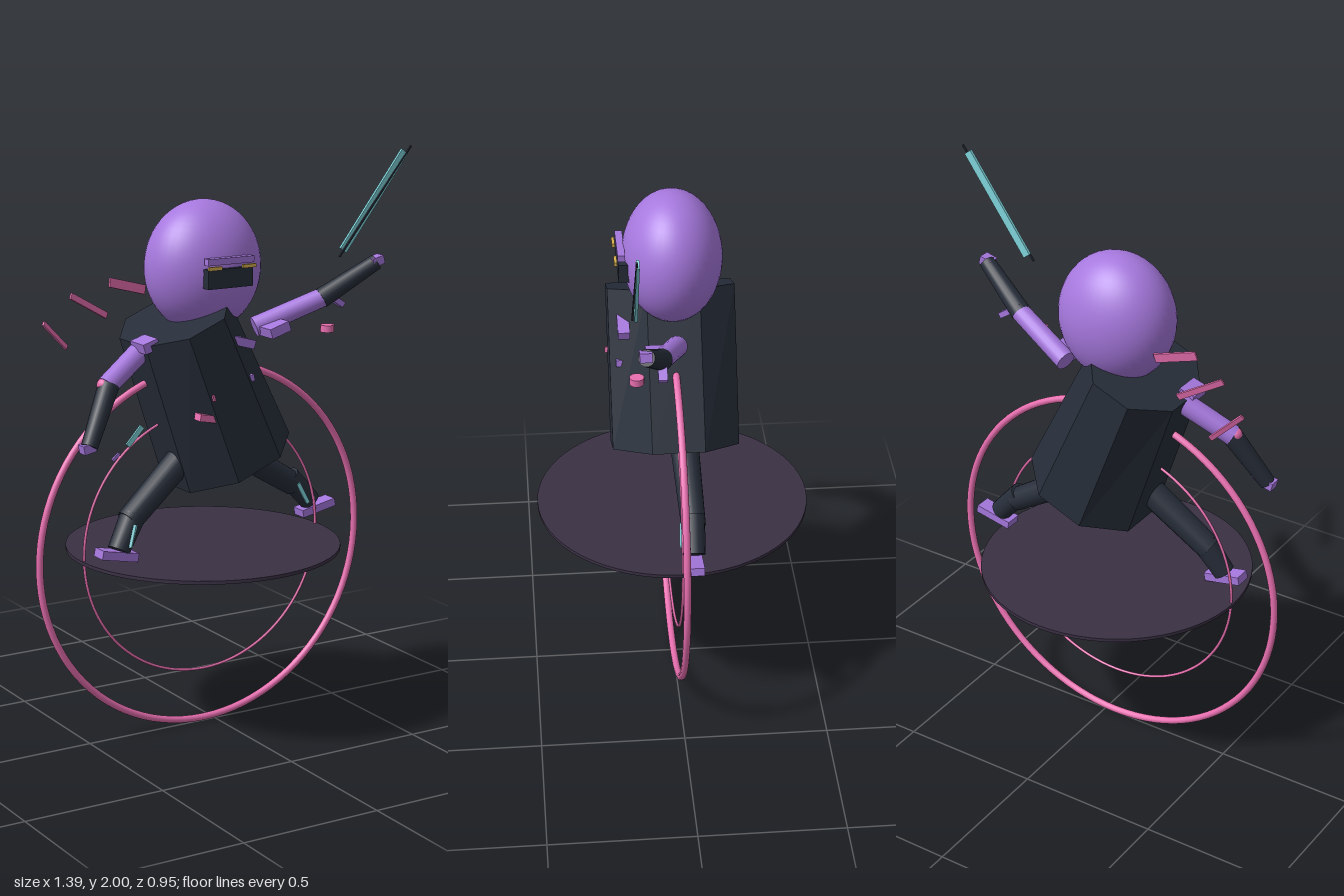
import * as THREE from 'three';

const mat = (color, extra = {}) => new THREE.MeshStandardMaterial({ color, ...extra });
const UP = new THREE.Vector3(0, 1, 0);

export function createModel() {
  const root = new THREE.Group();
  const purple = mat(0xa678de), dark = mat(0x272e3a), pink = mat(0xe86fb0);
  const cyan = mat(0x7fd4dc), gold = mat(0xd8b050), plum = mat(0x3a3044);
  const darkFlat = mat(0x272e3a, { flatShading: true });

  const add = (name, geo, material, pos = [0, 0, 0], rotZ = 0) => {
    const m = new THREE.Mesh(geo, material);
    m.name = name;
    m.position.set(...pos);
    m.rotation.z = rotZ;
    root.add(m);
    return m;
  };
  const box = (name, size, material, pos, rotZ) =>
    add(name, new THREE.BoxGeometry(...size), material, pos, rotZ);

  // Places a y-aligned geometry between two points
  const span = (name, a, b, makeGeo, material) => {
    const A = new THREE.Vector3(...a), B = new THREE.Vector3(...b);
    const d = B.clone().sub(A);
    const m = add(name, makeGeo(d.length()), material, A.clone().lerp(B, 0.5).toArray());
    m.quaternion.setFromUnitVectors(UP, d.normalize());
    return m;
  };
  const limb = (name, a, b, r0, r1, material) =>
    span(name, a, b, (l) => new THREE.CylinderGeometry(r1, r0, l, 16), material);
  const bar = (name, a, b, w, d, material) =>
    span(name, a, b, (l) => new THREE.BoxGeometry(w, l, d), material);

  // Rings and floor disc
  add('outerRing', new THREE.TorusGeometry(0.634, 0.0125, 12, 96), pink, [-0.047, 0.6465, 0]);
  add('innerRing', new THREE.TorusGeometry(0.466, 0.005, 8, 96), pink, [-0.047, 0.66, 0]);
  add('floorDisc', new THREE.CylinderGeometry(0.476, 0.476, 0.012, 64), plum, [-0.047, 0.648, 0]);

  // Eight-sided torso, narrower across the shoulders, leaning to its right
  const torso = new THREE.CylinderGeometry(0.233, 0.233, 0.547, 8);
  torso.rotateY(Math.PI / 8);
  const p = torso.attributes.position;
  for (let i = 0; i < p.count; i++) if (p.getY(i) > 0) p.setX(i, p.getX(i) * 0.81);
  add('torso', torso, darkFlat, [-0.055, 1.196, 0], 0.39);

  // Head and visor
  add('head', new THREE.SphereGeometry(1, 40, 28), purple, [-0.047, 1.62, 0]).scale.set(0.208, 0.226, 0.168);
  box('visor', [0.173, 0.065, 0.04], dark, [-0.047, 1.603, 0.163]);
  box('browBar', [0.178, 0.022, 0.025], purple, [-0.047, 1.661, 0.173]);
  for (const x of [-0.113, 0.018]) box('visorLight', [0.05, 0.012, 0.01], gold, [x, 1.641, 0.192]);

  // Right arm, hanging
  limb('rightUpperArm', [-0.27, 1.375, 0.01], [-0.46, 1.26, 0.07], 0.038, 0.036, purple);
  limb('rightForearm', [-0.45, 1.265, 0.07], [-0.56, 1.08, 0.135], 0.036, 0.028, dark);
  add('rightElbow', new THREE.SphereGeometry(0.024, 16, 12), pink, [-0.468, 1.268, 0.07]);
  box('rightHand', [0.045, 0.03, 0.04], purple, [-0.566, 1.08, 0.135], 0.2);
  box('rightShoulderPad', [0.058, 0.035, 0.09], purple, [-0.305, 1.385, 0.06], 0.3);

  // Left arm, raised
  limb('leftUpperArm', [0.16, 1.39, 0], [0.4, 1.485, 0.07], 0.036, 0.034, purple);
  limb('leftForearm', [0.39, 1.48, 0.068], [0.575, 1.6, 0.13], 0.036, 0.028, dark);
  box('leftHand', [0.045, 0.03, 0.04], purple, [0.573, 1.605, 0.132], 0.25);
  box('leftShoulderPad', [0.078, 0.035, 0.09], purple, [0.2, 1.392, 0.062], 0.3);
  bar('leftElbowFin', [0.385, 1.51, 0.07], [0.475, 1.45, 0.07], 0.02, 0.03, purple);
  add('floatingPuck', new THREE.CylinderGeometry(0.024, 0.024, 0.024, 20), pink, [0.363, 1.39, 0.147]);

  // Legs with tilted feet
  limb('rightThigh', [-0.13, 0.99, 0.03], [-0.38, 0.79, 0.07], 0.05, 0.044, dark);
  limb('rightShin', [-0.36, 0.81, 0.067], [-0.43, 0.7, 0.09], 0.044, 0.038, dark);
  box('rightFoot', [0.138, 0.03, 0.06], purple, [-0.437, 0.687, 0.09], -0.2);
  limb('leftThigh', [0.07, 0.975, -0.03], [0.35, 0.8, -0.04], 0.05, 0.042, dark);
  limb('leftShin', [0.33, 0.83, -0.04], [0.42, 0.73, -0.037], 0.04, 0.038, dark);
  box('leftFoot', [0.138, 0.028, 0.06], purple, [0.44, 0.706, -0.035], 0.2);
  bar('rightLegStripe', [-0.38, 0.79, 0.118], [-0.405, 0.715, 0.128], 0.014, 0.01, cyan);
  bar('leftLegStripe', [0.345, 0.81, 0.002], [0.385, 0.735, 0.004], 0.014, 0.01, cyan);

  // Blade above the raised hand
  bar('blade', [0.42, 1.655, 0.152], [0.665, 1.98, 0.16], 0.03, 0.01, cyan);
  bar('bladeEdge', [0.4, 1.636, 0.162], [0.69, 1.998, 0.164], 0.006, 0.006, dark);

  // Chest plates on the slanted front faces
  box('chestPlate', [0.09, 0.03, 0.04], purple, [0.003, 1.382, 0.168], -0.28);
  box('chestStud', [0.036, 0.022, 0.04], purple, [0.022, 1.257, 0.175], 0.15);
  box('chestStripe', [0.072, 0.024, 0.04], pink, [-0.145, 1.142, 0.19], -0.2);
  box('chestSliver', [0.008, 0.02, 0.02], pink, [-0.135, 1.213, 0.215], 0.2);

  // Streaks trailing behind the shoulder and near the lowered hand
  const streaks = [
    [[-0.38, 1.585, -0.045], [-0.235, 1.545, -0.065], 0.032],
    [[-0.505, 1.545, -0.085], [-0.355, 1.46, -0.115], 0.022],
    [[-0.595, 1.457, -0.11], [-0.495, 1.36, -0.14], 0.017],
  ];
  for (const [a, b, w] of streaks) bar('trailStreak', a, b, w, 0.008, pink);
  bar('handSpark', [-0.447, 1.083, 0.19], [-0.392, 1.142, 0.19], 0.017, 0.008, cyan);
  bar('handSparkSmall', [-0.5, 1.038, 0.182], [-0.474, 1.06, 0.182], 0.01, 0.008, purple);

  return root;
}
